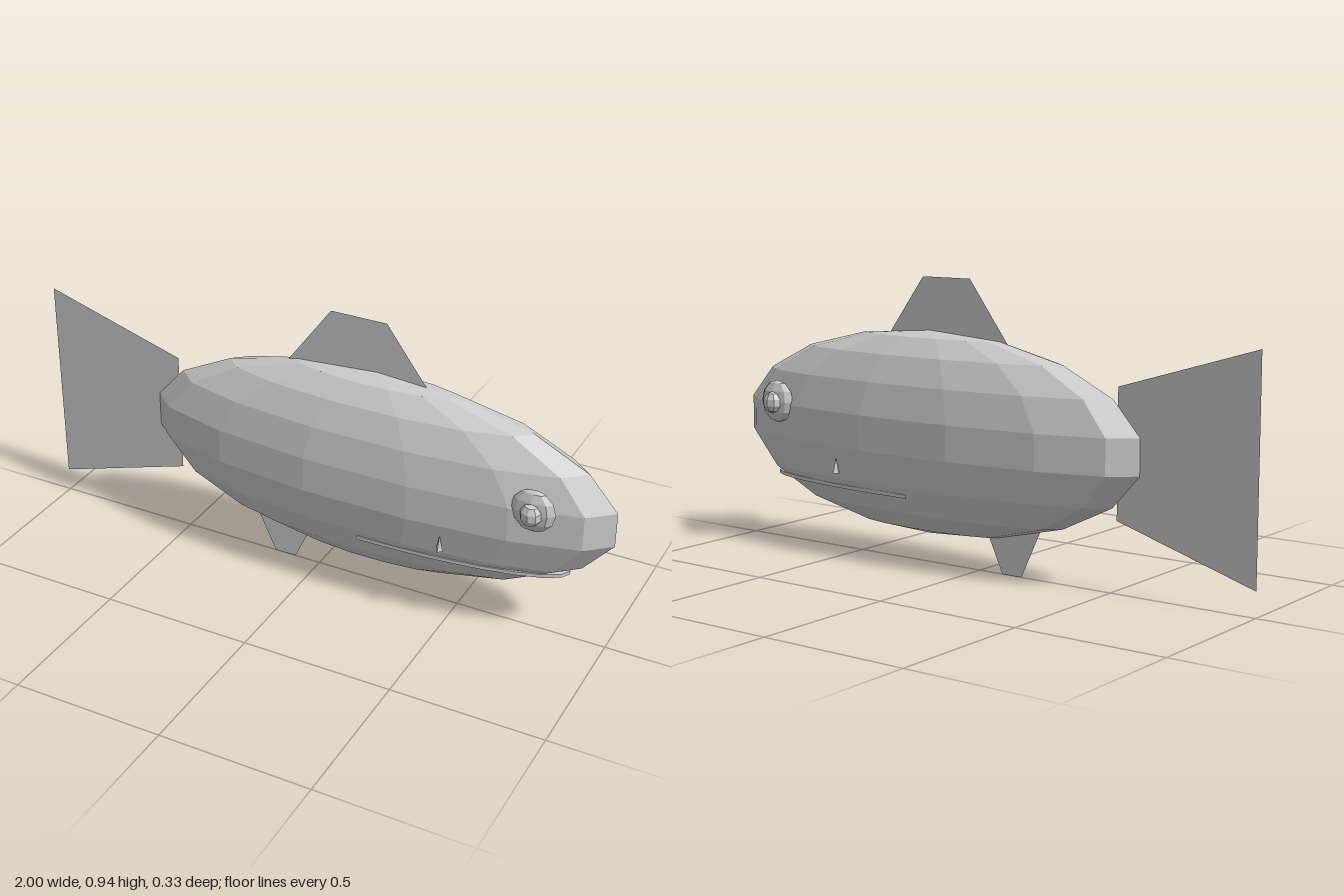
import * as THREE from 'three';

export function createModel() {
  const model = new THREE.Group();
  const grey = new THREE.MeshStandardMaterial({ color: 0xcccccc, flatShading: true });
  grey.name = 'light grey';
  const finGrey = new THREE.MeshStandardMaterial({ color: 0xcccccc, side: THREE.DoubleSide });
  finGrey.name = 'fin grey';

  const add = (name, geometry, material, position = [0, 0, 0], scale = [1, 1, 1]) => {
    const mesh = new THREE.Mesh(geometry, material);
    mesh.name = name;
    mesh.position.set(...position);
    mesh.scale.set(...scale);
    model.add(mesh);
    return mesh;
  };

  // Faceted, laterally flattened body
  add('body', new THREE.SphereGeometry(1, 14, 9), grey, [0.2, 0.432], [0.812, 0.335, 0.16]).position.z = 0;

  // Flat fins on the centre plane
  const fin = (name, points) => {
    const shape = new THREE.Shape(points.map(([x, y]) => new THREE.Vector2(x, y)));
    add(name, new THREE.ShapeGeometry(shape), finGrey);
  };
  fin('tailFin', [[-1, 0.08], [-0.52, 0.228], [-0.52, 0.64], [-1, 0.785]]);
  fin('dorsalFin', [[-0.16, 0.67], [0.43, 0.67], [0.23, 0.94], [0.04, 0.94]]);
  fin('ventralFin', [[-0.285, 0.26], [-0.165, 0], [-0.09, 0], [0.03, 0.26]]);

  // Mouth line barely standing out of the lower front of the body
  add('mouth', new THREE.CylinderGeometry(1, 1, 1, 14, 1, false, 0, Math.PI), grey,
    [0.2, 0.238, 0], [0.668, 0.012, 0.132]);

  for (const [side, s] of [['left', -1], ['right', 1]]) {
    // Bulging eye with a smaller pupil
    add(side + 'Eye', new THREE.SphereGeometry(1, 8, 6), grey, [0.775, 0.5, 0.114 * s], [0.072, 0.072, 0.027]);
    add(side + 'Pupil', new THREE.SphereGeometry(1, 8, 5), grey, [0.776, 0.498, 0.138 * s], [0.035, 0.037, 0.028]);
    // Tiny pointed side fin
    add(side + 'SideFin', new THREE.ConeGeometry(1, 1, 4), grey, [0.49, 0.312, 0.141 * s], [0.012, 0.052, 0.016]);
  }
  return model;
}
